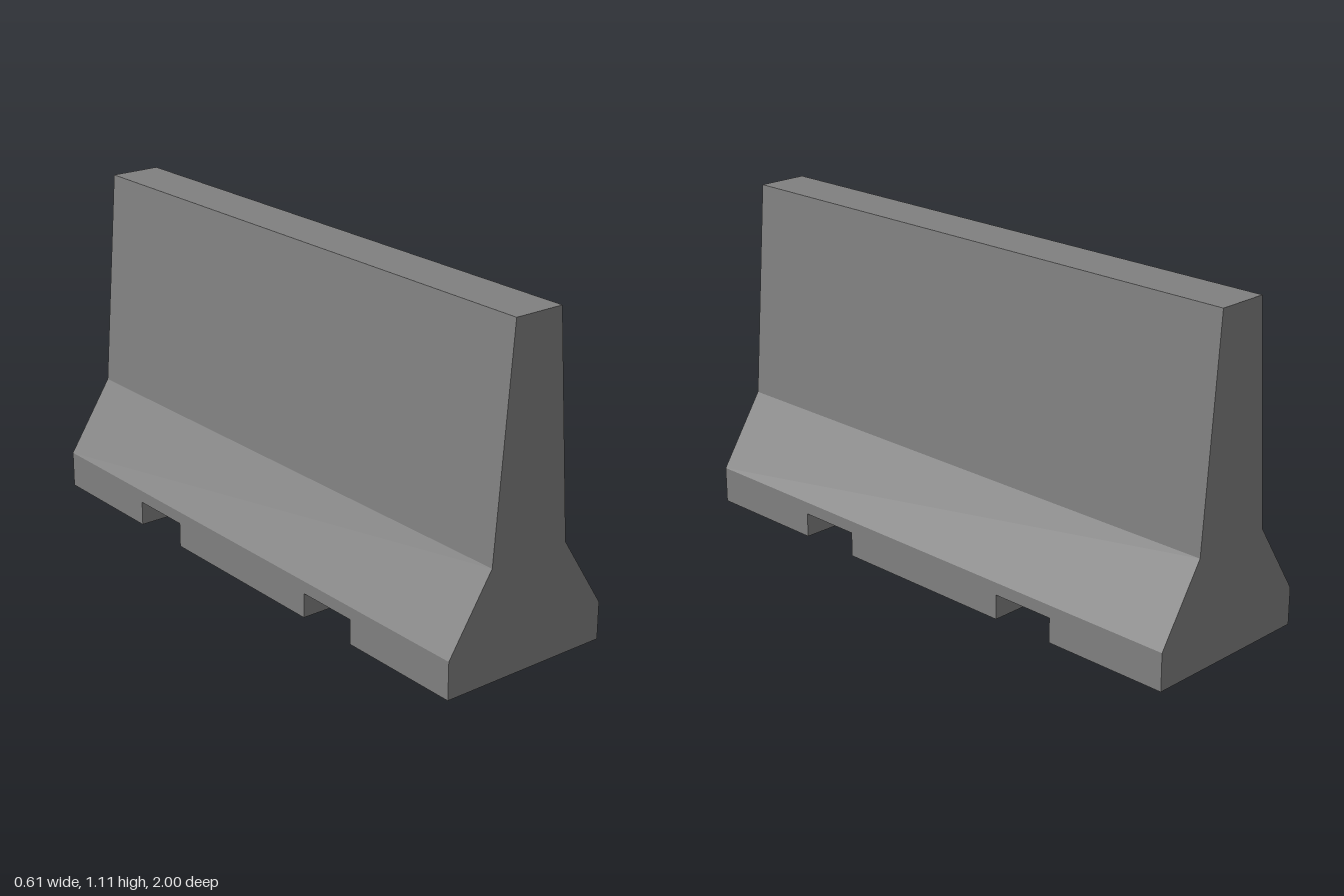
import * as THREE from 'three';
import { mergeGeometries } from 'three/addons/utils/BufferGeometryUtils.js';

const HALF_WIDTH = 0.305;
const HALF_LENGTH = 1;

// Half of the cross-section (x, y), from the ground to the crown
const PROFILE = [[HALF_WIDTH, 0], [HALF_WIDTH, 0.125], [0.147, 0.37], [0.088, 1.11]];
const mirrored = (points) => points.map(([a, b]) => [-a, b]).reverse();

// Half of the notched underside (z, y), from the front end to the middle foot
const SLOT_TOP = 0.083;
const UNDERSIDE_HALF = [[HALF_LENGTH, 0], [0.56, 0], [0.56, SLOT_TOP], [0.335, SLOT_TOP], [0.335, 0]];
const UNDERSIDE = [...UNDERSIDE_HALF, ...mirrored(UNDERSIDE_HALF)];

// Flat face bounded by a 2D outline
function face(points, turn, distance) {
  const shape = new THREE.Shape(points.map(([a, b]) => new THREE.Vector2(a, b)));
  return new THREE.ShapeGeometry(shape).translate(0, 0, distance).rotateY(turn);
}

// Flat quads between two copies of an open line
function sweep(points, near, far) {
  const positions = [];
  for (let i = 0; i < points.length - 1; i++) {
    const a = points[i], b = points[i + 1];
    const corners = [near(a), far(a), far(b), near(b)];
    for (const k of [0, 1, 2, 0, 2, 3]) positions.push(...corners[k]);
  }
  const geometry = new THREE.BufferGeometry();
  geometry.setAttribute('position', new THREE.Float32BufferAttribute(positions, 3));
  geometry.computeVertexNormals();
  return geometry;
}

export function createModel() {
  const group = new THREE.Group();
  group.name = 'concreteBarrier';
  const concrete = new THREE.MeshStandardMaterial({ color: 0x808080 });
  concrete.name = 'concrete grey';

  const add = (name, geometry) => {
    const mesh = new THREE.Mesh(geometry, concrete);
    mesh.name = name;
    group.add(mesh);
  };

  // Sloping walls and crown
  const upper = PROFILE.slice(1);
  add('slopedWalls', sweep([...upper, ...mirrored(upper)],
    ([x, y]) => [x, y, HALF_LENGTH], ([x, y]) => [x, y, -HALF_LENGTH]));

  // Upright base sides with the two slots cut out
  const side = [...UNDERSIDE, [-HALF_LENGTH, 0.125], [HALF_LENGTH, 0.125]];
  add('baseSides', mergeGeometries([
    face(side, Math.PI / 2, HALF_WIDTH), face(side, -Math.PI / 2, HALF_WIDTH)]));

  // Feet soles and slot walls
  add('underside', sweep(UNDERSIDE,
    ([z, y]) => [HALF_WIDTH, y, z], ([z, y]) => [-HALF_WIDTH, y, z]));

  // End faces
  const section = [...PROFILE, ...mirrored(PROFILE)];
  add('endFaces', mergeGeometries([
    face(section, 0, HALF_LENGTH), face(section, Math.PI, HALF_LENGTH)]));

  return group;
}
